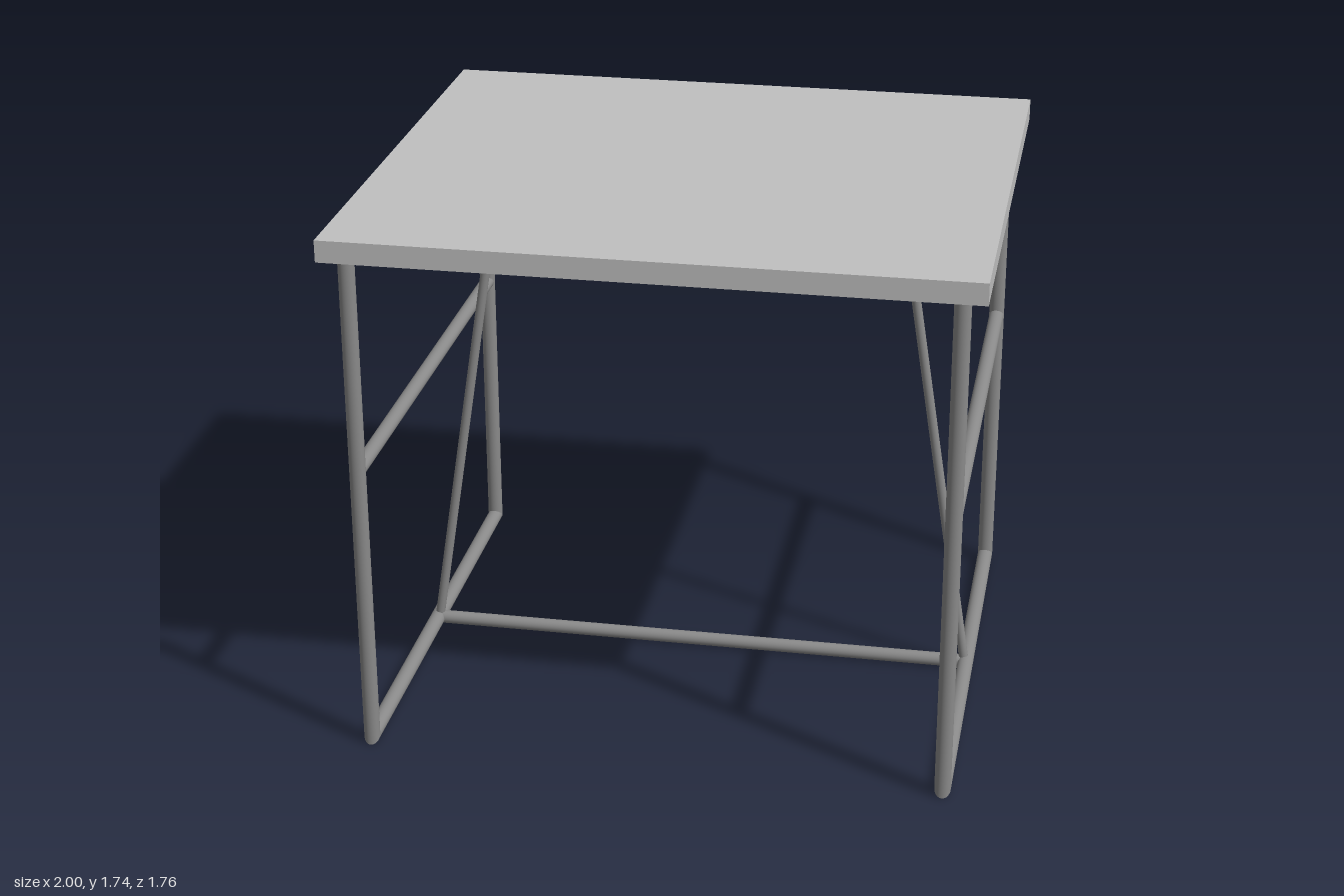
import * as THREE from 'three';

const LEG_X = 0.923, LEG_Z = 0.822, TOP_Y = 1.672;
const R = 0.0235, RX = 0.026; // tube half-depth and half-width

export function createModel() {
  const group = new THREE.Group();
  const topMat = new THREE.MeshStandardMaterial({ name: 'light grey top', color: 0xc0c0c0 });
  const tubeMat = new THREE.MeshStandardMaterial({ name: 'grey steel', color: 0x8a8a8a });

  const add = (name, geometry, material, parent = group) => {
    const mesh = new THREE.Mesh(geometry, material);
    mesh.name = name;
    parent.add(mesh);
    return mesh;
  };

  // Round bar between two points
  const bar = (name, a, b, radius, parent) => {
    const from = new THREE.Vector3(...a), dir = new THREE.Vector3(...b).sub(from);
    const mesh = add(name, new THREE.CylinderGeometry(radius, radius, dir.length(), 24), tubeMat, parent);
    mesh.position.copy(from).addScaledVector(dir, 0.5);
    mesh.quaternion.setFromUnitVectors(new THREE.Vector3(0, 1, 0), dir.normalize());
    return mesh;
  };

  // Slanted cut on the tube ends so that legs and floor rail meet in a mitre
  const mitre = (geometry, ends) => {
    const p = geometry.attributes.position;
    for (let i = 0; i < p.count; i++) {
      const y = p.getY(i), slope = y > 0 ? ends[0] : ends[1];
      p.setY(i, y + slope * p.getZ(i));
    }
    geometry.scale(RX / R, 1, 1);
    return geometry;
  };

  // Table top
  add('tableTop', new THREE.BoxGeometry(2, 0.07, 1.76), topMat).position.y = TOP_Y + 0.035;

  // Side frames: two legs, floor rail, middle rail and slanted brace
  for (const s of [1, -1]) {
    const frame = new THREE.Group();
    frame.name = s > 0 ? 'leftFrame' : 'rightFrame';
    group.add(frame);

    const legLength = TOP_Y - R;
    for (const z of [1, -1]) {
      const geo = mitre(new THREE.CylinderGeometry(R, R, legLength, 24), [0, -z]);
      add(z > 0 ? 'frontLeg' : 'backLeg', geo, tubeMat, frame)
        .position.set(s * LEG_X, R + legLength / 2, z * LEG_Z);
    }

    const railGeo = mitre(new THREE.CylinderGeometry(R, R, LEG_Z * 2, 24), [1, -1]);
    railGeo.rotateX(Math.PI / 2);
    add('floorRail', railGeo, tubeMat, frame).position.set(s * LEG_X, R, 0);

    const midGeo = new THREE.CylinderGeometry(R * 0.95, R * 0.95, LEG_Z * 2, 24);
    midGeo.scale(RX / R, 1, 1).rotateX(Math.PI / 2);
    add('middleRail', midGeo, tubeMat, frame).position.set(s * LEG_X, 0.967, 0);

    bar('brace', [s * 0.918, R, 0], [s * 0.657, TOP_Y + 0.01, 0], 0.0155, frame);
  }

  // Stretcher joining the two floor rails
  bar('stretcher', [-LEG_X, R, 0], [LEG_X, R, 0], 0.0225, group);
  return group;
}
